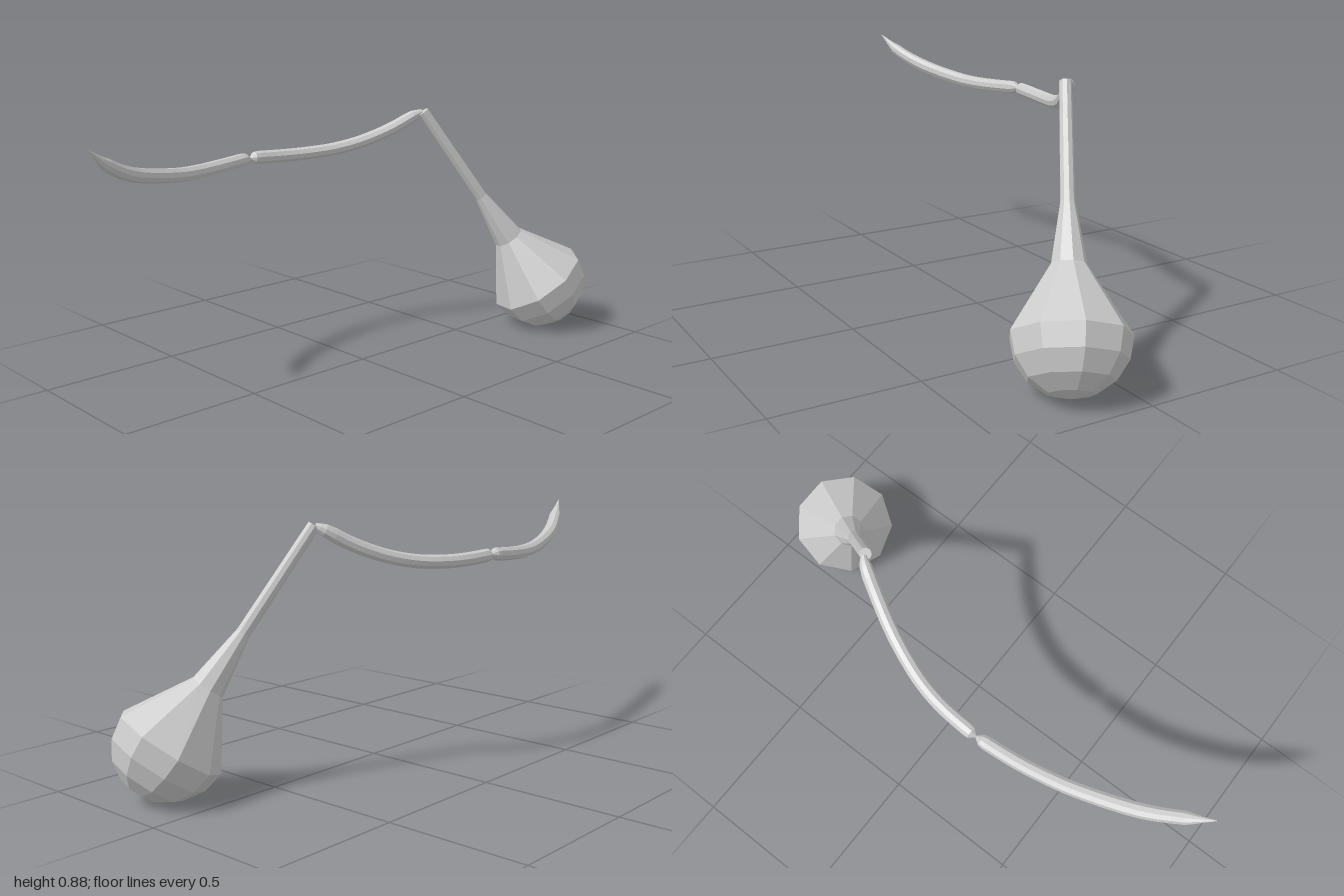
import * as THREE from 'three';

const SIDES = 9;

export function createModel() {
  const group = new THREE.Group();
  const material = new THREE.MeshStandardMaterial({
    color: 0xcccccc, flatShading: true, side: THREE.DoubleSide,
  });

  const add = (name, geometry) => {
    const mesh = new THREE.Mesh(geometry, material);
    mesh.name = name;
    group.add(mesh);
    return mesh;
  };

  // Weighted bulb: slim stem, flared neck, cone and faceted round end
  const bulbRadius = 0.19, bulbCentre = 0.83;
  const profile = [[0, 0], [0.021, 0], [0.024, 0.41], [0.058, 0.615]]
    .map(([r, y]) => new THREE.Vector2(r, y));
  for (let i = 0; i <= 4; i++) {
    const a = (i / 4) * Math.PI / 2;
    profile.push(new THREE.Vector2(bulbRadius * Math.cos(a), bulbCentre + bulbRadius * Math.sin(a)));
  }
  const phase = THREE.MathUtils.degToRad(17);
  const bulb = add('bulbAndStem', new THREE.LatheGeometry(profile, SIDES, phase));

  // Lean the stem axis down, back and to the left
  const axis = new THREE.Vector3(0.303, -0.82, -0.486).normalize();
  const across = new THREE.Vector3(1, 0, 0).addScaledVector(axis, -axis.x).normalize();
  const third = new THREE.Vector3().crossVectors(across, axis);
  bulb.quaternion.setFromRotationMatrix(new THREE.Matrix4().makeBasis(across, axis, third));
  bulb.position.set(-0.093, 0.873, -0.397);

  // Cord: a tube whose radius follows [fraction of length, radius] stops
  const cord = (name, points, stops) => {
    const segments = 40;
    const curve = new THREE.CatmullRomCurve3(points.map((p) => new THREE.Vector3(...p)));
    const geometry = new THREE.TubeGeometry(curve, segments, 1, SIDES);
    const position = geometry.attributes.position;
    const v = new THREE.Vector3();
    for (let i = 0; i <= segments; i++) {
      const u = i / segments;
      const centre = curve.getPointAt(u);
      let k = 1;
      while (k < stops.length - 1 && u > stops[k][0]) k++;
      const [u0, r0] = stops[k - 1], [u1, r1] = stops[k];
      const radius = r0 + (r1 - r0) * (u - u0) / (u1 - u0);
      for (let j = 0; j <= SIDES; j++) {
        const n = i * (SIDES + 1) + j;
        v.fromBufferAttribute(position, n).sub(centre).multiplyScalar(radius).add(centre);
        position.setXYZ(n, v.x, v.y, v.z);
      }
    }
    add(name, geometry);
  };

  // Front half, from the pointed tip to the pinch
  cord('frontCord', [
    [-0.123, 0.877, 1.0], [-0.158, 0.818, 0.92], [-0.21, 0.767, 0.8], [-0.272, 0.731, 0.6],
    [-0.295, 0.726, 0.5], [-0.313, 0.729, 0.4], [-0.33, 0.74, 0.245],
  ], [[0, 0.001], [0.05, 0.009], [0.125, 0.022], [0.3, 0.025], [0.95, 0.024], [0.975, 0.021], [1, 0.004]]);

  // Rear half, from the pinch to the top of the stem
  cord('rearCord', [
    [-0.33, 0.74, 0.245], [-0.318, 0.734, 0.1], [-0.297, 0.735, 0], [-0.262, 0.744, -0.1],
    [-0.218, 0.768, -0.2], [-0.165, 0.811, -0.3], [-0.118, 0.86, -0.38], [-0.1, 0.873, -0.4],
  ], [[0, 0.004], [0.025, 0.022], [0.05, 0.024], [0.9, 0.024], [0.95, 0.021], [1, 0.009]]);

  return group;
}
